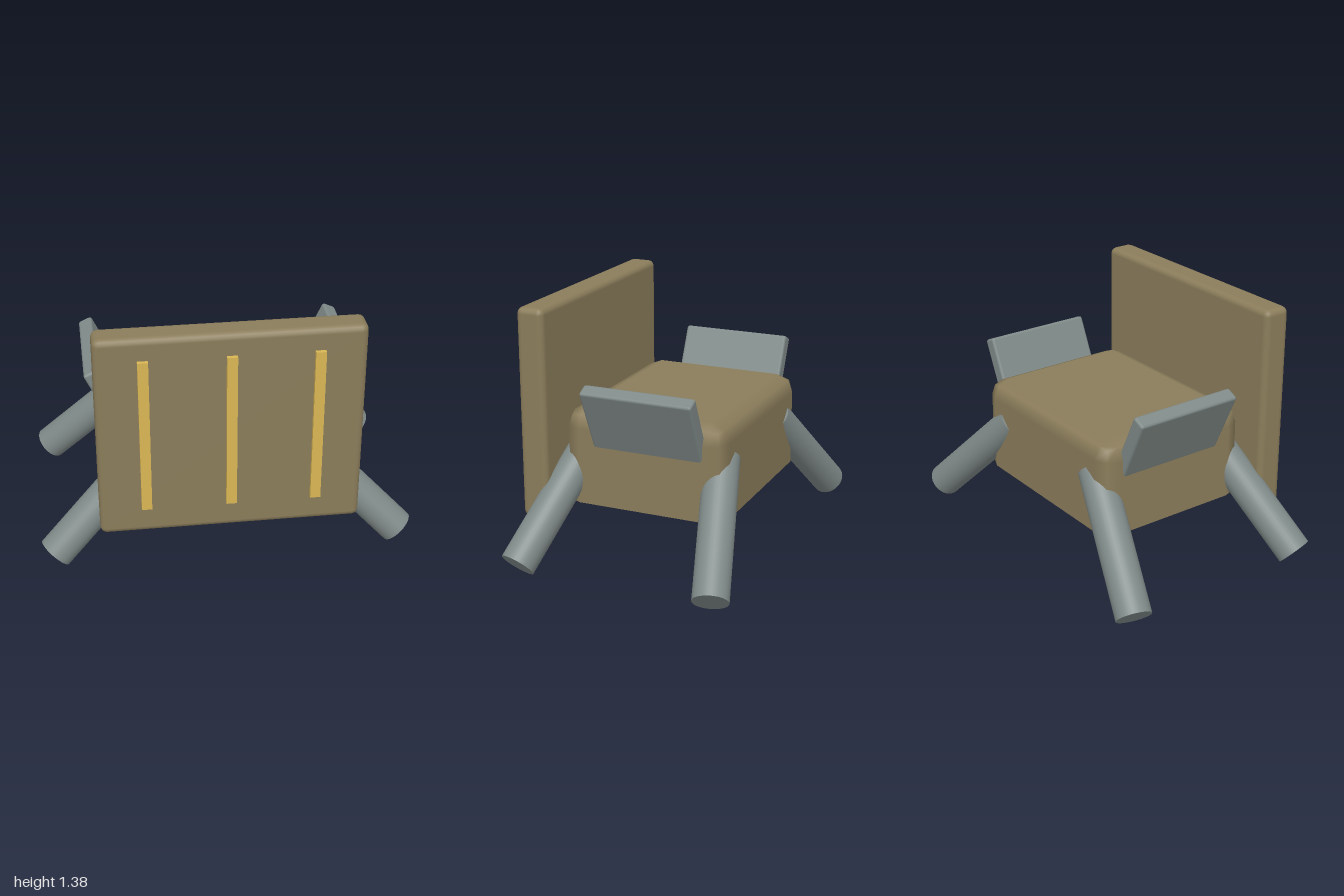
import * as THREE from 'three';
import { RoundedBoxGeometry } from 'three/addons/geometries/RoundedBoxGeometry.js';

const tan = new THREE.MeshStandardMaterial({ color: 0x8b7d5b });
const grey = new THREE.MeshStandardMaterial({ color: 0x7f8a88 });
const gold = new THREE.MeshStandardMaterial({ color: 0xd9b654 });

export function createModel() {
  const model = new THREE.Group();
  model.name = 'shieldedWalker';

  function add(name, geometry, material, x, y, z) {
    const mesh = new THREE.Mesh(geometry, material);
    mesh.name = name;
    mesh.position.set(x, y, z);
    model.add(mesh);
    return mesh;
  }

  // Body: rounded top and upright edges, flat underside
  const midZ = -0.0175;
  add('body', flatBottomBox(1.15, 0.515, 0.915, 0.1), tan, 0, 0.32, midZ);

  // Front shield with three raised strips
  add('shield', new RoundedBoxGeometry(1.375, 1.15, 0.155, 2, 0.035), tan, 0, 0.81, 0.5525);
  for (const x of [-0.443, 0, 0.443]) {
    add('shieldStrip', new THREE.BoxGeometry(0.054, 0.872, 0.022), gold, x, 0.83, 0.644);
  }

  for (const side of [-1, 1]) {
    const label = side > 0 ? 'left' : 'right';

    // Eye on the front of the body, behind the shield
    add(label + 'Eye', new THREE.SphereGeometry(0.045, 20, 14), gold, side * 0.15, 0.53, 0.417);

    // Side plate leaning outward, sunk into the body
    const tilt = 0.435, height = 0.48, thick = 0.08;
    const topX = 0.694, topY = 0.998;
    const plate = add(label + 'SidePlate', new RoundedBoxGeometry(thick, height, 0.62, 2, 0.015), grey,
      side * (topX - Math.sin(tilt) * height / 2), topY - Math.cos(tilt) * height / 2, -0.055);
    plate.rotation.z = -side * tilt;

    // Splayed legs, front and back
    for (const end of [-1, 1]) {
      const foot = new THREE.Vector3(side * 0.931, 0.069, midZ + end * 0.545);
      const hip = new THREE.Vector3(side * 0.38, 0.62, midZ + end * 0.378);
      const axis = hip.clone().sub(foot);
      const centre = foot.clone().add(hip).multiplyScalar(0.5);
      const leg = add(label + (end > 0 ? 'FrontLeg' : 'BackLeg'),
        new THREE.CylinderGeometry(0.095, 0.095, axis.length(), 32), grey, centre.x, centre.y, centre.z);
      leg.quaternion.setFromUnitVectors(new THREE.Vector3(0, 1, 0), axis.normalize());
    }
  }
  return model;
}

// Rounded box standing on y = 0 whose lower rounding is pressed flat
function flatBottomBox(width, height, depth, radius) {
  const geometry = new RoundedBoxGeometry(width, height + radius, depth, 1, radius);
  geometry.translate(0, (height - radius) / 2, 0);
  const pos = geometry.attributes.position, normal = geometry.attributes.normal;
  for (let i = 0; i < pos.count; i += 3) {
    const corners = [i, i + 1, i + 2];
    const under = corners.every((k) => pos.getY(k) < 1e-4);
    for (const k of corners) {
      pos.setY(k, Math.max(0, pos.getY(k)));
      if (under) normal.setXYZ(k, 0, -1, 0);
    }
  }
  return geometry;
}
